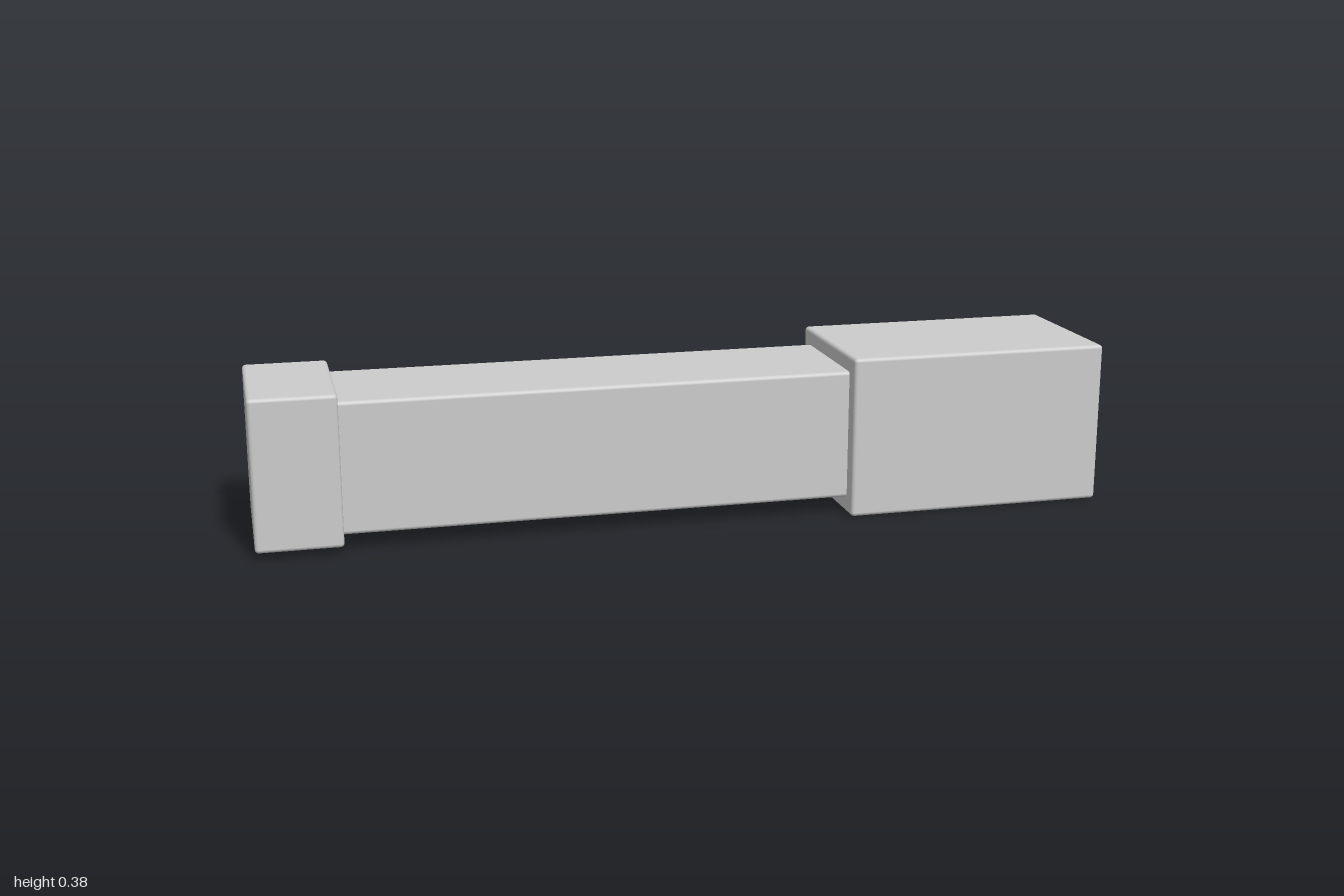
import * as THREE from 'three';
import { RoundedBoxGeometry } from 'three/addons/geometries/RoundedBoxGeometry.js';

const AXIS_Y = 0.191;

export function createModel() {
  const group = new THREE.Group();
  const material = new THREE.MeshStandardMaterial({ color: 0xcccccc });

  // Square bar running along x, with softly rounded edges
  function bar(name, x0, x1, side) {
    const geometry = new RoundedBoxGeometry(x1 - x0, side, side, 3, 0.009);
    const mesh = new THREE.Mesh(geometry, material);
    mesh.name = name;
    mesh.position.set((x0 + x1) / 2, AXIS_Y, 0);
    group.add(mesh);
  }

  bar('endCap', -1, -0.805, 0.35);
  bar('shaft', -0.83, 0.4, 0.306); // ends sit inside the cap and the head
  bar('headBlock', 0.375, 1, 0.382);

  return group;
}
